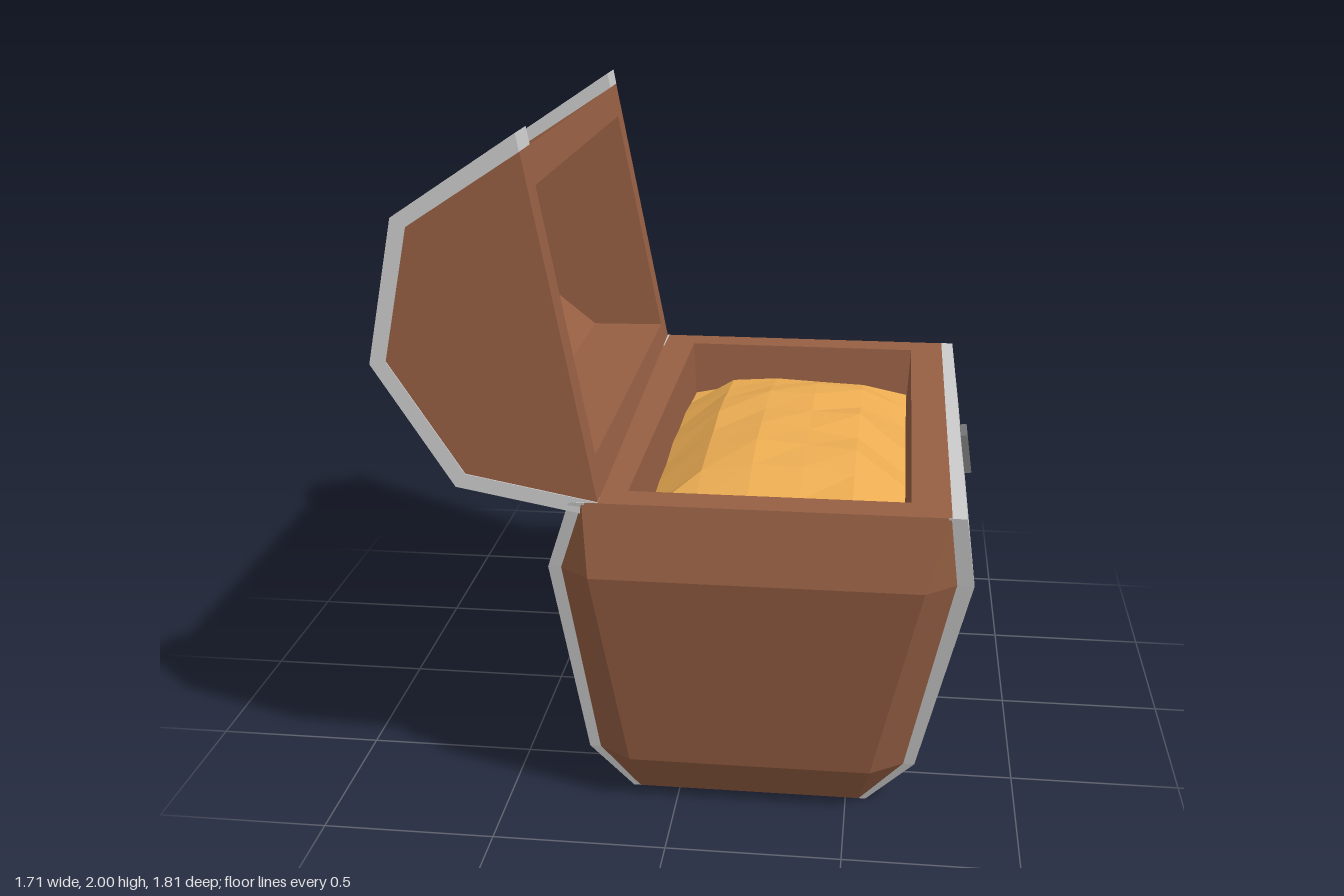
import * as THREE from 'three';

const paint = (color) => new THREE.MeshStandardMaterial({ color, flatShading: true });
const wood = paint(0x965f43);
const metal = paint(0xcccccc);
const darkMetal = paint(0x777777);
const gold = paint(0xebac52);
gold.side = THREE.DoubleSide;

function add(parent, name, geometry, material) {
  const mesh = new THREE.Mesh(geometry, material);
  mesh.name = name;
  parent.add(mesh);
  return mesh;
}

// Joins horizontal rings (counterclockwise from above) and caps both ends
function loft(rings) {
  const n = rings[0].length, v = [];
  for (let r = 0; r < rings.length - 1; r++) {
    for (let i = 0; i < n; i++) {
      const j = (i + 1) % n, a = rings[r], b = rings[r + 1];
      v.push(...a[i], ...a[j], ...b[j], ...a[i], ...b[j], ...b[i]);
    }
  }
  const first = rings[0], last = rings[rings.length - 1];
  for (let i = 1; i < n - 1; i++) {
    v.push(...first[0], ...first[i + 1], ...first[i]);
    v.push(...last[0], ...last[i], ...last[i + 1]);
  }
  const g = new THREE.BufferGeometry();
  g.setAttribute('position', new THREE.Float32BufferAttribute(v, 3));
  g.computeVertexNormals();
  return g;
}

const rect = (y, xa, xb, za, zb) => {
  const x0 = Math.min(xa, xb), x1 = Math.max(xa, xb);
  const z0 = Math.min(za, zb), z1 = Math.max(za, zb);
  return [[x1, y, z1], [x1, y, z0], [x0, y, z0], [x0, y, z1]];
};

// Rectangle with corners cut by cx along x and cz along z
const cutRect = (y, x0, x1, z, cx = 0, cz = 0) => [
  [x1, y, z - cz], [x1, y, cz - z], [x1 - cx, y, -z], [x0 + cx, y, -z],
  [x0, y, cz - z], [x0, y, z - cz], [x0 + cx, y, z], [x1 - cx, y, z],
];

// Extrudes a lid section, given as [along rim, outward] pairs, from z0 to z1
function extrudeSection(points, z0, z1) {
  const shape = new THREE.Shape(points.map(([t, h]) => new THREE.Vector2(-h, t)));
  const g = new THREE.ExtrudeGeometry(shape, { depth: z1 - z0, bevelEnabled: false });
  return g.translate(0, 0, z0);
}

function buildBody() {
  const body = new THREE.Group();
  body.name = 'body';

  // Hollow box: outside up to the rim, then down into the cavity
  add(body, 'bodyShell', loft([
    cutRect(0, -0.12, 0.54, 0.67),
    cutRect(0.15, -0.235, 0.67, 0.78, 0.1, 0.07),
    cutRect(0.78, -0.315, 0.795, 0.905, 0.09, 0.075),
    cutRect(0.99, -0.245, 0.77, 0.865),
    cutRect(0.99, -0.13, 0.66, 0.76),
    cutRect(0.72, -0.115, 0.645, 0.73),
  ]), wood);

  // Straps: y, back inner/outer x, front inner/outer x, inner/outer z
  const levels = [
    [0, -0.11, -0.14, 0.53, 0.56, 0.53, 0.67],
    [0.15, -0.225, -0.265, 0.66, 0.70, 0.55, 0.712],
    [0.78, -0.305, -0.35, 0.785, 0.84, 0.68, 0.832],
    [0.99, -0.235, -0.28, 0.76, 0.81, 0.72, 0.867],
  ];
  for (const s of [1, -1]) {
    add(body, 'frontStrap', loft(levels.slice(0, 3).map(
      ([y, , , a, b, z0, z1]) => rect(y, a, b, s * z0, s * z1))), metal);
    add(body, 'backStrap', loft(levels.map(
      ([y, a, b, , , z0, z1]) => rect(y, a, b, s * z0, s * z1))), metal);
  }
  add(body, 'frontBand', loft(levels.slice(2).map(
    ([y, , , a, b, , z1]) => rect(y, a, b, -z1, z1))), metal);
  return body;
}

function buildLock() {
  const lock = new THREE.Group();
  lock.name = 'lock';
  const box = (w, h) => [[-w, -h], [w, -h], [w, h], [-w, h]].map(([x, y]) => new THREE.Vector2(x, y));
  const plate = new THREE.Shape(box(0.057, 0.063));
  plate.holes.push(new THREE.Path(box(0.02, 0.036).reverse()));
  const g = new THREE.ExtrudeGeometry(plate, { depth: 0.035, bevelEnabled: false });
  add(lock, 'lockPlate', g.rotateY(Math.PI / 2), darkMetal);
  add(lock, 'keyhole', new THREE.BoxGeometry(0.02, 0.072, 0.04).translate(0.008, 0, 0), darkMetal);
  lock.position.set(0.812, 0.885, 0);
  lock.rotation.z = 0.14;
  return lock;
}

function buildLid() {
  const lid = new THREE.Group();
  lid.name = 'lid';
  const outer = [[0, 0], [0.14, 0.347], [0.49, 0.49], [0.84, 0.347], [0.98, 0]];
  const inner = [[0.105, 0], [0.15, 0.24], [0.34, 0.4], [0.64, 0.4], [0.83, 0.24], [0.875, 0]];
  const strap = [[-0.045, 0], [0.108, 0.382], [0.49, 0.536], [0.872, 0.382], [1.03, 0]];

  // Hollow middle with solid end walls
  add(lid, 'lidShell', extrudeSection([...outer, ...inner.slice().reverse()], -0.76, 0.76), wood);
  for (const [z0, z1] of [[0.76, 0.86], [-0.86, -0.76]]) {
    add(lid, 'lidEnd', extrudeSection(outer, z0, z1), wood);
  }
  for (const [z0, z1] of [[0.72, 0.864], [-0.864, -0.72]]) {
    add(lid, 'lidStrap', extrudeSection([...strap, ...outer.slice().reverse()], z0, z1), metal);
  }

  // Thrown open and sitting slightly askew on its hinge
  lid.position.set(-0.217, 0.972, 0);
  lid.rotation.set(-0.0225, 0.02, 0.195);
  return lid;
}

// Lumpy mound filling the cavity
function buildTreasure() {
  let seed = 7;
  const random = () => (seed = (seed * 16807) % 2147483647) / 2147483647;
  const g = new THREE.PlaneGeometry(0.765, 1.47, 5, 9).rotateX(-Math.PI / 2);
  const p = g.attributes.position;
  for (let i = 0; i < p.count; i++) {
    const a = p.getX(i) / 0.383, b = p.getZ(i) / 0.735;
    const dome = (1 - a ** 4) * (1 - b ** 4);
    p.setY(i, 0.82 + 0.14 * dome + 0.035 * (random() - 0.3));
  }
  g.computeVertexNormals();
  const mound = new THREE.Group();
  mound.name = 'treasure';
  add(mound, 'goldPile', g, gold).position.x = 0.265;
  return mound;
}

export function createModel() {
  const chest = new THREE.Group();
  chest.name = 'treasureChest';
  chest.add(buildBody(), buildLock(), buildLid(), buildTreasure());
  return chest;
}
